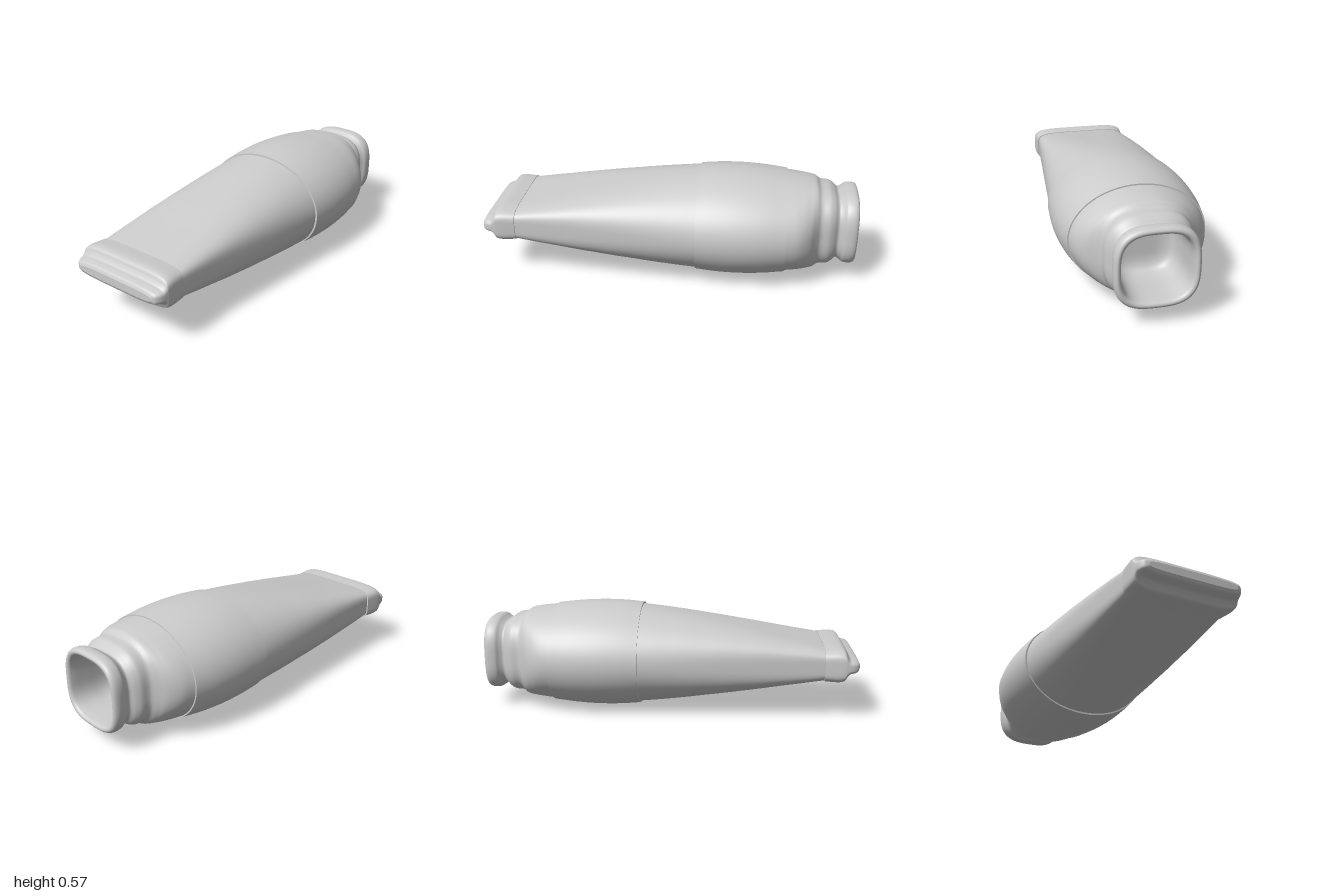
import * as THREE from 'three';

const SEGMENTS = 96;
const STEPS = 6;
const AXIS_Y = 0.287;

// Smooth loft along x. Each section: [x, half height, half depth, superellipse exponent].
function loft(sections) {
  const curve = new THREE.CatmullRomCurve3(
    sections.map(([x, h, d]) => new THREE.Vector3(x, h, d)), false, 'centripetal');
  const rings = [];
  const total = (sections.length - 1) * STEPS;
  for (let i = 0; i <= total; i++) {
    const p = curve.getPoint(i / total);
    const k = Math.min(Math.floor(i / STEPS), sections.length - 2);
    const n = THREE.MathUtils.lerp(sections[k][3], sections[k + 1][3], i / STEPS - k);
    rings.push([p.x, Math.max(p.y, 0), Math.max(p.z, 0), n]);
  }
  const positions = [];
  const index = [];
  const addRing = ([x, h, d, n]) => {
    for (let j = 0; j < SEGMENTS; j++) {
      const a = (j / SEGMENTS) * Math.PI * 2;
      const c = Math.cos(a), s = Math.sin(a);
      positions.push(x,
        AXIS_Y + h * Math.sign(c) * Math.abs(c) ** (2 / n),
        d * Math.sign(s) * Math.abs(s) ** (2 / n));
    }
  };
  const addStrip = (list) => {
    const base = positions.length / 3;
    list.forEach(addRing);
    for (let i = 0; i < list.length - 1; i++) {
      for (let j = 0; j < SEGMENTS; j++) {
        const a = base + i * SEGMENTS + j;
        const b = base + i * SEGMENTS + (j + 1) % SEGMENTS;
        index.push(a, b, a + SEGMENTS, b, b + SEGMENTS, a + SEGMENTS);
      }
    }
  };
  // Flat end faces have their own vertices, so their edges stay sharp
  const first = rings[0], last = rings[rings.length - 1];
  addStrip(rings);
  addStrip([[first[0], 0, 0, first[3]], first]);
  if (last[1] > 0) addStrip([last, [last[0], 0, 0, last[3]]]);

  const geometry = new THREE.BufferGeometry();
  geometry.setAttribute('position', new THREE.Float32BufferAttribute(positions, 3));
  geometry.setIndex(index);
  geometry.computeVertexNormals();
  return geometry;
}

export function createModel() {
  const group = new THREE.Group();
  group.name = 'taperedHousing';
  const material = new THREE.MeshStandardMaterial({ color: 0xcccccc });
  const add = (name, sections) => {
    const mesh = new THREE.Mesh(loft(sections), material);
    mesh.name = name;
    group.add(mesh);
  };

  // Flat end cap with a narrow rounded lip
  add('endCap', [
    [-1, 0.02, 0.238, 4], [-0.99, 0.037, 0.26, 4], [-0.97, 0.044, 0.273, 4],
    [-0.95, 0.049, 0.279, 4], [-0.937, 0.065, 0.281, 4.5], [-0.925, 0.086, 0.283, 5],
    [-0.9, 0.094, 0.283, 5], [-0.82, 0.091, 0.277, 5],
  ]);

  // Long shell, from a flat rounded rectangle to an ellipse
  add('taperedShell', [
    [-0.825, 0.087, 0.27, 5], [-0.6, 0.13, 0.288, 3.8], [-0.4, 0.171, 0.306, 3],
    [-0.2, 0.209, 0.324, 2.5], [0, 0.243, 0.341, 2.2], [0.16, 0.264, 0.354, 2.05],
  ]);

  // Widest band, standing slightly proud of its neighbours
  add('middleBand', [
    [0.153, 0.273, 0.364, 2], [0.25, 0.282, 0.371, 2], [0.37, 0.285, 0.374, 2],
    [0.5, 0.279, 0.366, 2], [0.625, 0.266, 0.346, 2],
  ]);

  // Neck, rolled mouth rim and hollow interior
  add('neckAndMouth', [
    [0.615, 0.26, 0.341, 2], [0.69, 0.252, 0.32, 2.05], [0.745, 0.244, 0.283, 2.2],
    [0.78, 0.235, 0.243, 2.5], [0.805, 0.216, 0.22, 2.7], [0.85, 0.208, 0.213, 2.9],
    [0.875, 0.194, 0.2, 3], [0.9, 0.175, 0.181, 3], [0.92, 0.184, 0.188, 3],
    [0.94, 0.197, 0.201, 3], [0.975, 0.2, 0.204, 3], [0.993, 0.194, 0.198, 3],
    [1, 0.182, 0.187, 3], [0.993, 0.169, 0.174, 3], [0.97, 0.163, 0.168, 3],
    [0.9, 0.157, 0.163, 3], [0.8, 0.152, 0.158, 3], [0.74, 0.138, 0.143, 3],
    [0.715, 0.1, 0.104, 3], [0.71, 0, 0, 3],
  ]);

  return group;
}
